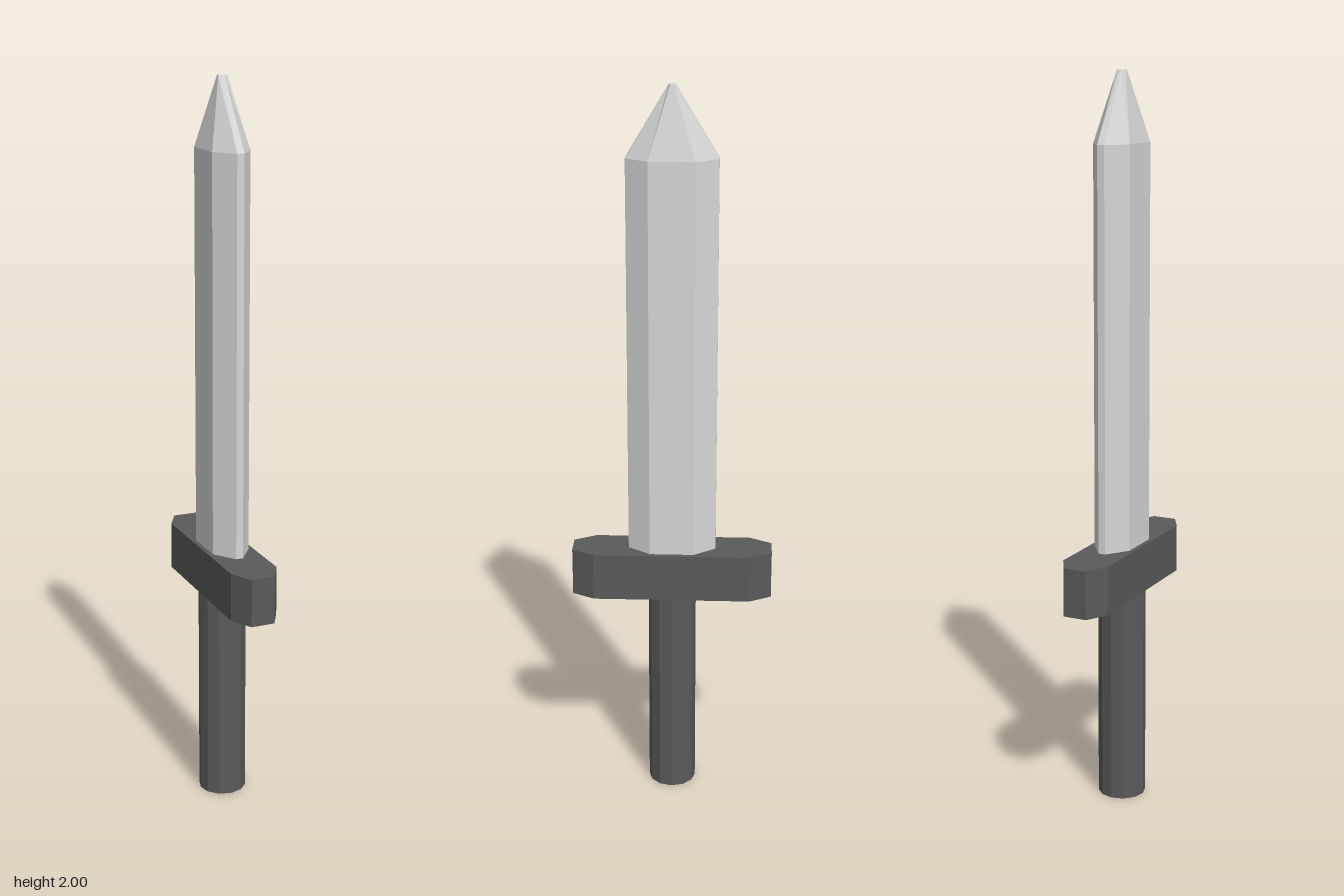
import * as THREE from 'three';

const material = (name, color) => {
  const m = new THREE.MeshStandardMaterial({ color });
  m.name = name;
  return m;
};

// Eight-sided outline: full width out to zFlat, narrowing to xEnd at zEnd.
function octagon(xFlat, zFlat, xEnd, zEnd) {
  return new THREE.Shape([
    [xFlat, -zFlat], [xFlat, zFlat], [xEnd, zEnd], [-xEnd, zEnd],
    [-xFlat, zFlat], [-xFlat, -zFlat], [-xEnd, -zEnd], [xEnd, -zEnd],
  ].map(([x, y]) => new THREE.Vector2(x, y)));
}

// Upright extrusion starting at y = 0.
function prism(shape, height, steps = 1) {
  const g = new THREE.ExtrudeGeometry(shape, { depth: height, steps, bevelEnabled: false });
  return g.rotateX(-Math.PI / 2);
}

export function createModel() {
  const group = new THREE.Group();
  const steel = material('lightSteel', 0xd6d6d6);
  const dark = material('darkGrey', 0x5a5a5a);

  const add = (name, geometry, mat, y) => {
    const mesh = new THREE.Mesh(geometry, mat);
    mesh.name = name;
    mesh.position.y = y;
    group.add(mesh);
  };

  // Round grip
  const grip = new THREE.CylinderGeometry(0.066, 0.066, 0.6, 12).toNonIndexed();
  grip.computeVertexNormals();
  add('grip', grip, dark, 0.3);

  // Crossguard with chamfered ends
  add('crossguard', prism(octagon(0.066, 0.215, 0.033, 0.275), 0.133), dark, 0.6);

  // Faceted blade: the middle ring moves up to the shoulder, the top ring shrinks to a blunt point
  const base = 0.733, shoulder = 1.815;
  const blade = prism(octagon(0.053, 0.06, 0.01, 0.12), 2 - base, 2);
  const p = blade.attributes.position;
  const top = 2 - base;
  for (let i = 0; i < p.count; i++) {
    const t = p.getY(i) / top;
    if (t > 0.9) p.setXYZ(i, p.getX(i) * 0.23, top, p.getZ(i) * 0.075);
    else if (t > 0.1) p.setY(i, shoulder - base);
  }
  blade.computeVertexNormals();
  add('blade', blade, steel, base);

  return group;
}
